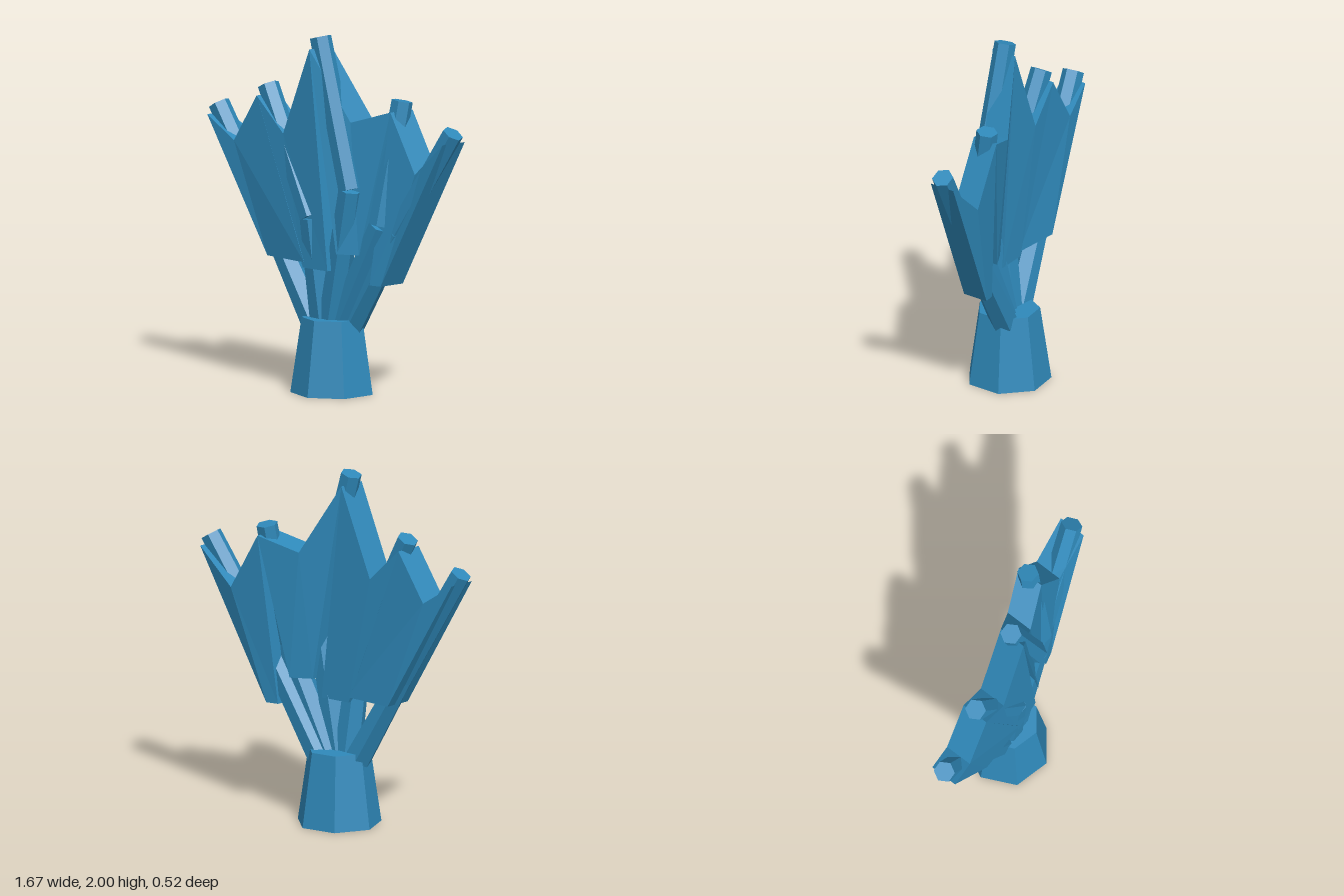
import * as THREE from 'three';

const coralBlue = new THREE.MeshStandardMaterial({ color: 0x2f89ba, flatShading: true });
coralBlue.name = 'coralBlue';

const V = (p) => new THREE.Vector3(...p);

// Six-sided tapered rod between two points
function rod(a, b, r0, r1) {
  const dir = V(b).sub(V(a));
  const g = new THREE.CylinderGeometry(r1, r0, dir.length(), 6);
  g.rotateY(Math.PI / 6);
  const mesh = new THREE.Mesh(g, coralBlue);
  mesh.quaternion.setFromUnitVectors(new THREE.Vector3(0, 1, 0), dir.normalize());
  mesh.position.copy(V(a).add(V(b)).multiplyScalar(0.5));
  return mesh;
}

// Thick web with a notched top: left peak, notch, right peak, lower right, lower left
function web(outline, half = 0.08) {
  const pos = [];
  const n = outline.length;
  const at = (i, s) => [outline[i][0], outline[i][1], outline[i][2] + s * half];
  const tri = (a, b, c) => pos.push(...a, ...b, ...c);
  for (const [a, b, c] of [[1, 3, 2], [1, 4, 3], [1, 0, 4]]) {
    tri(at(a, 1), at(b, 1), at(c, 1));
    tri(at(a, -1), at(c, -1), at(b, -1));
  }
  for (let i = 0; i < n; i++) {
    const j = (i + 1) % n;
    tri(at(i, 1), at(j, 1), at(j, -1));
    tri(at(i, 1), at(j, -1), at(i, -1));
  }
  const g = new THREE.BufferGeometry();
  g.setAttribute('position', new THREE.Float32BufferAttribute(pos, 3));
  g.computeVertexNormals();
  return new THREE.Mesh(g, coralBlue);
}

export function createModel() {
  const model = new THREE.Group();
  model.name = 'fanCoral';

  // Seven-sided foot
  const foot = new THREE.Mesh(
    new THREE.CylinderGeometry(0.175, 0.237, 0.42, 7).rotateY(-Math.PI / 2), coralBlue);
  foot.position.set(-0.013, 0.21, 0.008);
  foot.name = 'foot';
  model.add(foot);

  // Branches: root, joint, tip
  const branches = [
    [[-0.13, 0.38, 0.04], [-0.41, 0.88, 0.1], [-0.785, 1.53, 0.18]],
    [[-0.05, 0.38, 0.04], [-0.08, 0.98, 0.11], [-0.435, 1.675, 0.12]],
    [[0.0, 0.38, 0.03], [0.18, 1.16, 0.05], [-0.055, 1.985, 0.065]],
    [[0.04, 0.38, 0.0], [0.33, 0.97, -0.04], [0.375, 1.66, -0.16]],
    [[0.08, 0.38, -0.04], [0.425, 0.94, -0.09], [0.785, 1.53, -0.18]],
  ];
  branches.forEach(([root, joint, tip], i) => {
    const branch = new THREE.Group();
    branch.name = 'branch' + (i + 1);
    branch.add(rod(root, joint, 0.08, 0.066), rod(joint, tip, 0.066, 0.06));
    model.add(branch);
  });

  // Webs filling the gaps between neighbouring branches
  const webs = [
    [[-0.79, 1.475, 0.18], [-0.61, 1.35, 0.14], [-0.44, 1.62, 0.12], [-0.09, 0.73, 0.075], [-0.39, 0.73, 0.085]],
    [[-0.44, 1.62, 0.12], [-0.25, 1.43, 0.09], [-0.05, 1.925, 0.07], [0.08, 0.7, 0.05], [-0.1, 0.7, 0.075]],
    [[-0.05, 1.925, 0.07], [0.16, 1.53, -0.05], [0.38, 1.605, -0.15], [0.24, 0.8, -0.04], [0.13, 0.8, 0.03]],
    [[0.38, 1.605, -0.15], [0.565, 1.28, -0.17], [0.79, 1.475, -0.18], [0.38, 0.64, -0.08], [0.31, 0.64, -0.06]],
  ];
  webs.forEach((outline, i) => {
    const mesh = web(outline);
    mesh.name = 'web' + (i + 1);
    model.add(mesh);
  });

  return model;
}
